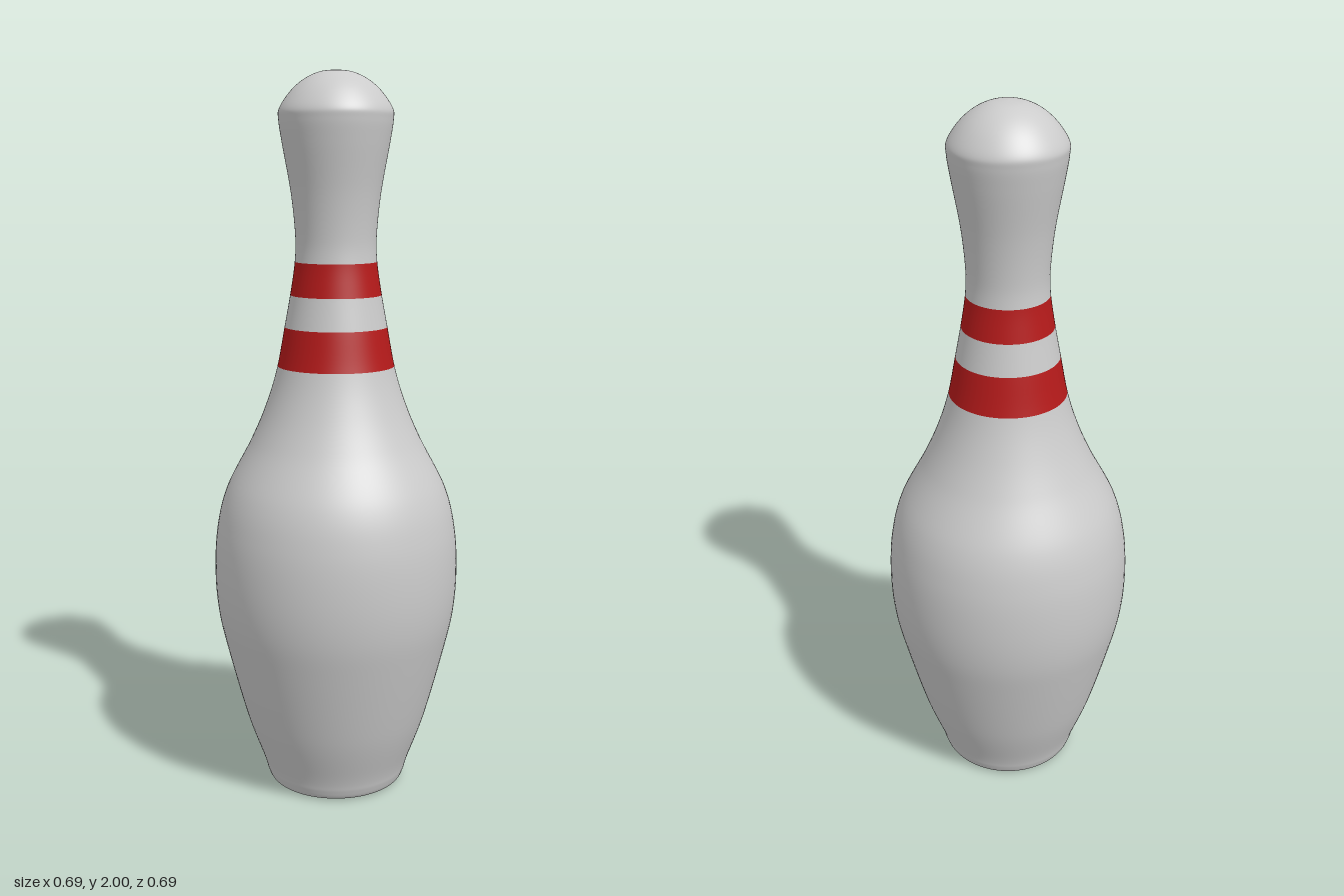
import * as THREE from 'three';

const grey = new THREE.MeshStandardMaterial({ color: 0xcccccc });
const red = new THREE.MeshStandardMaterial({ color: 0xb51a1a });

// Outline of the pin: [radius, height] from the foot up to the crown
const outline = [
  [0.175, 0], [0.19, 0.008], [0.2, 0.03], [0.212, 0.07], [0.258, 0.2], [0.311, 0.4],
  [0.336, 0.52], [0.343, 0.64], [0.334, 0.76], [0.305, 0.87], [0.238, 1.0], [0.195, 1.1],
  [0.164, 1.2], [0.141, 1.32], [0.123, 1.42], [0.112, 1.5], [0.111, 1.57], [0.122, 1.68],
  [0.145, 1.81], [0.154, 1.87], [0.152, 1.9], [0.124, 1.942], [0.088, 1.974], [0.046, 1.994], [0, 2],
].map(([r, y]) => new THREE.Vector2(r, y));

const samples = new THREE.SplineCurve(outline).getPoints(240);
samples.forEach((p) => { p.x = Math.max(p.x, 0); });

// Exact point on the outline at a given height
function pointAt(y) {
  const i = samples.findIndex((p) => p.y >= y);
  const a = samples[i - 1], b = samples[i];
  return a.clone().lerp(b, (y - a.y) / (b.y - a.y));
}

// Turned slice of the pin between two heights
function slice(name, from, to, material) {
  const points = samples.filter((p) => p.y > from + 1e-4 && p.y < to - 1e-4);
  points.unshift(from === 0 ? samples[0] : pointAt(from));
  points.push(to === 2 ? samples[samples.length - 1] : pointAt(to));
  const mesh = new THREE.Mesh(new THREE.LatheGeometry(points, 96), material);
  mesh.name = name;
  return mesh;
}

export function createModel() {
  const pin = new THREE.Group();
  pin.name = 'bowlingPin';

  // Body, neck bands and head share one outline
  pin.add(
    slice('belly', 0, 1.21, grey),
    slice('lowerStripe', 1.21, 1.318, red),
    slice('neckGap', 1.318, 1.405, grey),
    slice('upperStripe', 1.405, 1.495, red),
    slice('head', 1.495, 2, grey),
  );

  // Flat underside
  const base = new THREE.Mesh(new THREE.CircleGeometry(outline[0].x, 96), grey);
  base.name = 'base';
  base.rotation.x = Math.PI / 2;
  pin.add(base);

  return pin;
}
